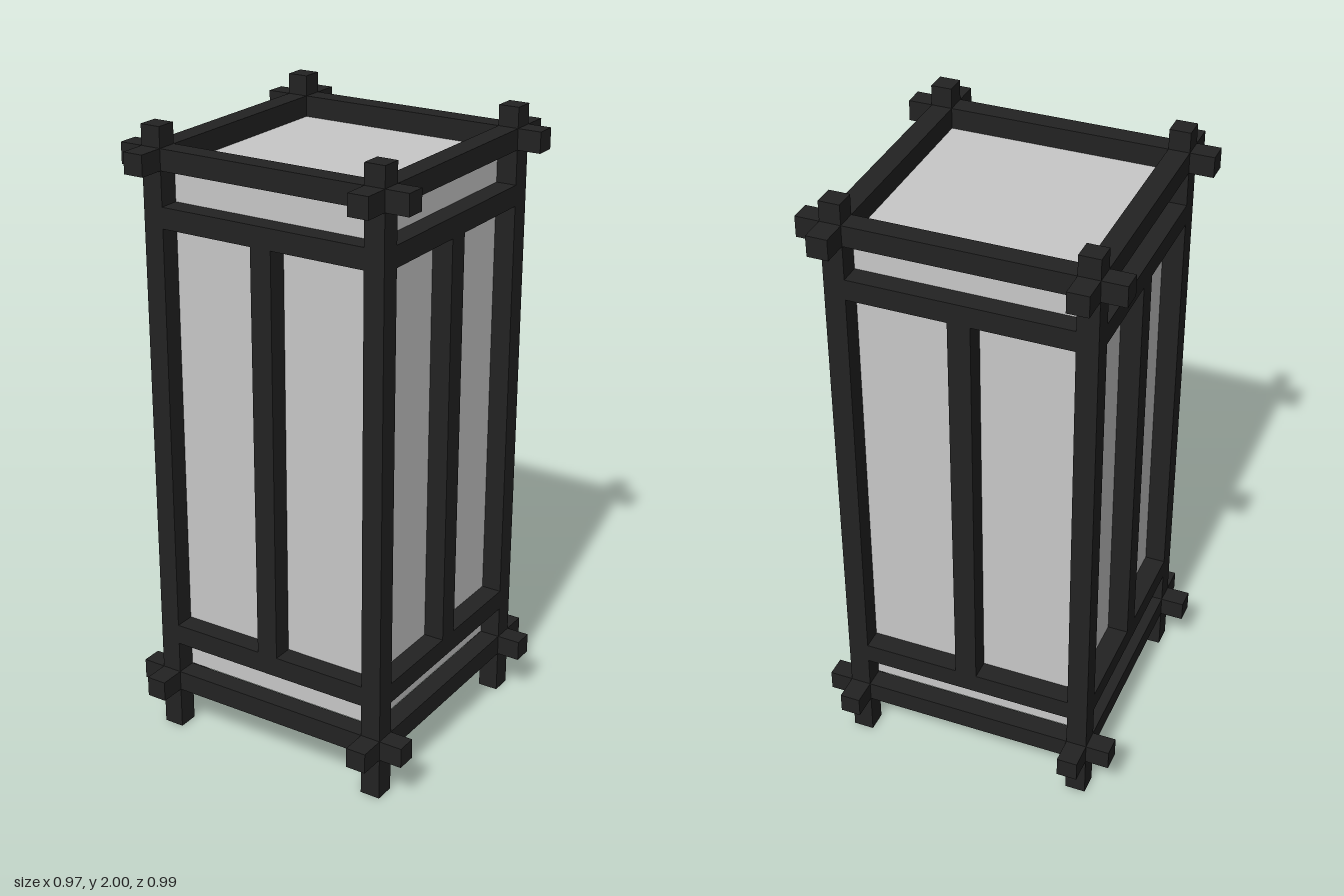
import * as THREE from 'three';

const BAR = 0.066;   // square section of every bar
const C = 0.378;     // distance of bar centres from the middle
const INNER = 0.69;  // clear span between the posts

export function createModel() {
  const model = new THREE.Group();
  model.name = 'lantern';
  const wood = new THREE.MeshStandardMaterial({ color: 0x222222 });
  wood.name = 'darkWood';
  const paper = new THREE.MeshStandardMaterial({ color: 0xc8c8c8 });
  paper.name = 'greyPaper';

  const box = (parent, name, material, size, position) => {
    const mesh = new THREE.Mesh(new THREE.BoxGeometry(...size), material);
    mesh.name = name;
    mesh.position.set(...position);
    parent.add(mesh);
  };

  // Paper shade, set back to the inner faces of the frame
  box(model, 'paperShade', paper, [INNER, 1.664, INNER], [0, 1.038, 0]);

  // Corner posts
  for (const x of [-C, C]) {
    for (const z of [-C, C]) box(model, 'cornerPost', wood, [BAR, 2, BAR], [x, 1, z]);
  }

  // Four framed sides, each built facing +z and turned into place
  for (let i = 0; i < 4; i++) {
    const side = new THREE.Group();
    side.name = ['frontFrame', 'leftFrame', 'backFrame', 'rightFrame'][i];
    side.rotation.y = i * Math.PI / 2;
    const reach = i % 2 ? 0.99 : 0.974;
    // Long rails crossing past the posts
    for (const y of [0.172, 1.903]) box(side, 'crossingRail', wood, [reach, BAR, BAR], [0, y, C]);
    // Short rails between the posts
    for (const y of [0.343, 1.729]) box(side, 'innerRail', wood, [INNER, BAR, BAR], [0, y, C]);
    // Middle upright
    box(side, 'mullion', wood, [0.07, 1.32, BAR], [0, 1.036, C]);
    model.add(side);
  }
  return model;
}
